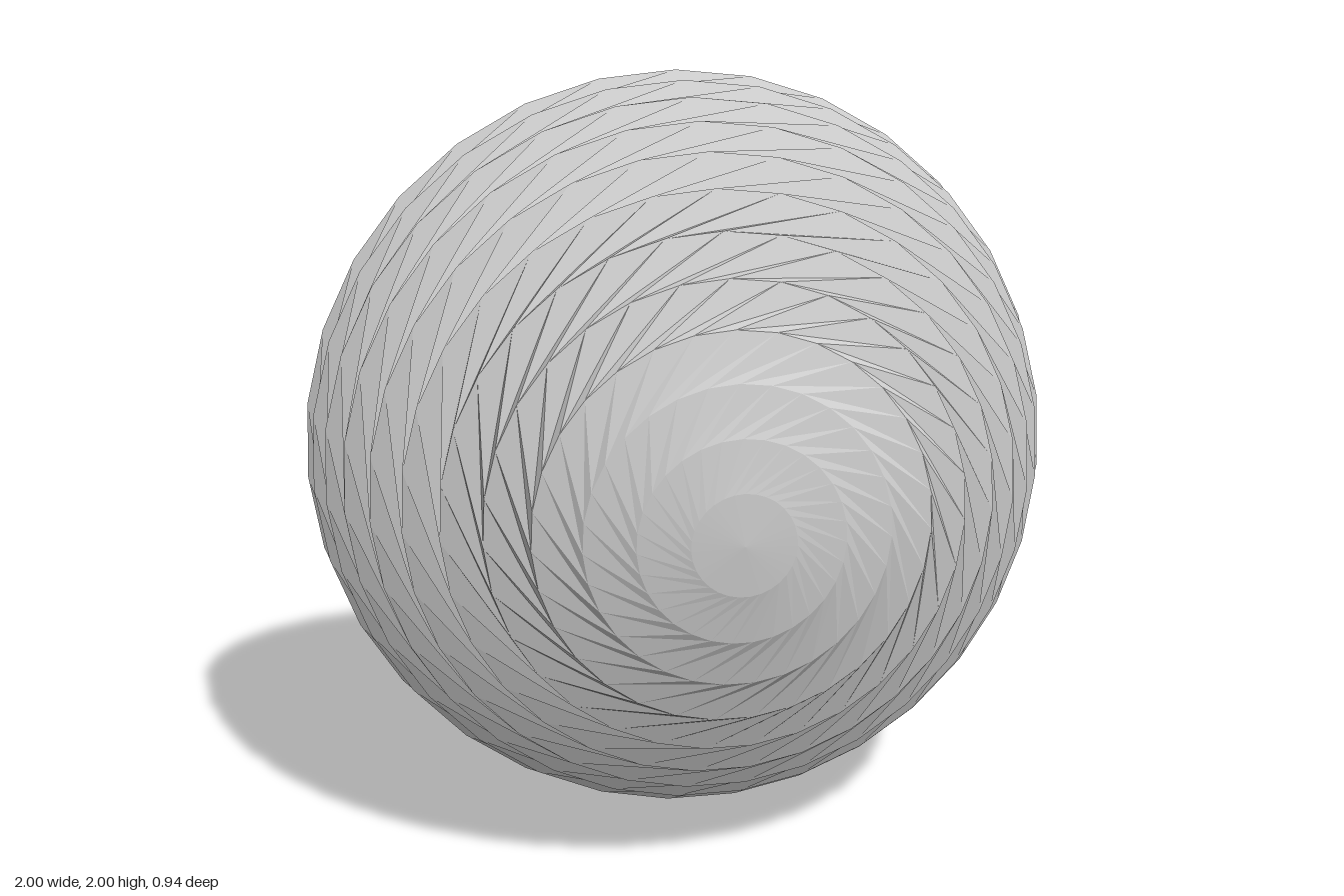
import * as THREE from 'three';

const SIDES = 31;          // corners on each ring
const RINGS = 12;          // rings from pole to rim
const TWIST = 2;           // corners each band is skewed by
const DEPTH = 0.935;
const RIM_ANGLE = Math.PI / 2 - 2 * Math.atan(1 / DEPTH) + Math.PI / 2; // pole-to-rim sweep helper

// Thin faceted bowl: rings of a spherical cap joined by skewed bands
function twistedDome() {
  const lift = Math.PI - 2 * Math.atan(DEPTH) - Math.PI / 2; // rim sits slightly above the equator
  const radius = 1.002 / Math.cos(lift);
  const sweep = Math.PI / 2 - lift;
  const points = [];
  const index = [];

  for (let i = 0; i <= RINGS; i++) {
    const a = (i / RINGS) * sweep;
    const r = radius * Math.sin(a);
    const z = radius * (Math.cos(a) - 1) + DEPTH / 2;
    for (let j = 0; j < SIDES; j++) {
      const t = (j / SIDES) * Math.PI * 2;
      points.push(r * Math.sin(t), 1 + r * Math.cos(t), z);
    }
  }

  // Each band runs clockwise (seen from the front) as it goes outward
  const at = (i, j) => i * SIDES + (j % SIDES);
  for (let i = 0; i < RINGS; i++) {
    for (let j = 0; j < SIDES; j++) {
      const a = at(i, j), b = at(i, j + 1);
      const c = at(i + 1, j + TWIST), d = at(i + 1, j + TWIST + 1);
      if (i > 0) index.push(a, b, d);
      index.push(a, d, c);
    }
  }

  const geometry = new THREE.BufferGeometry();
  geometry.setAttribute('position', new THREE.Float32BufferAttribute(points, 3));
  geometry.setIndex(index);
  // Separate the facets, turning every one to face outward
  for (let k = 0; k < index.length; k += 3) [index[k + 1], index[k + 2]] = [index[k + 2], index[k + 1]];
  geometry.setIndex(index);
  const flat = geometry.toNonIndexed();
  flat.computeVertexNormals();
  return flat;
}

export function createModel() {
  const model = new THREE.Group();
  model.name = 'twistedDome';
  const material = new THREE.MeshStandardMaterial({
    color: 0xcccccc, flatShading: true, side: THREE.DoubleSide,
  });
  const shell = new THREE.Mesh(twistedDome(), material);
  shell.name = 'domeShell';
  model.add(shell);
  return model;
}
